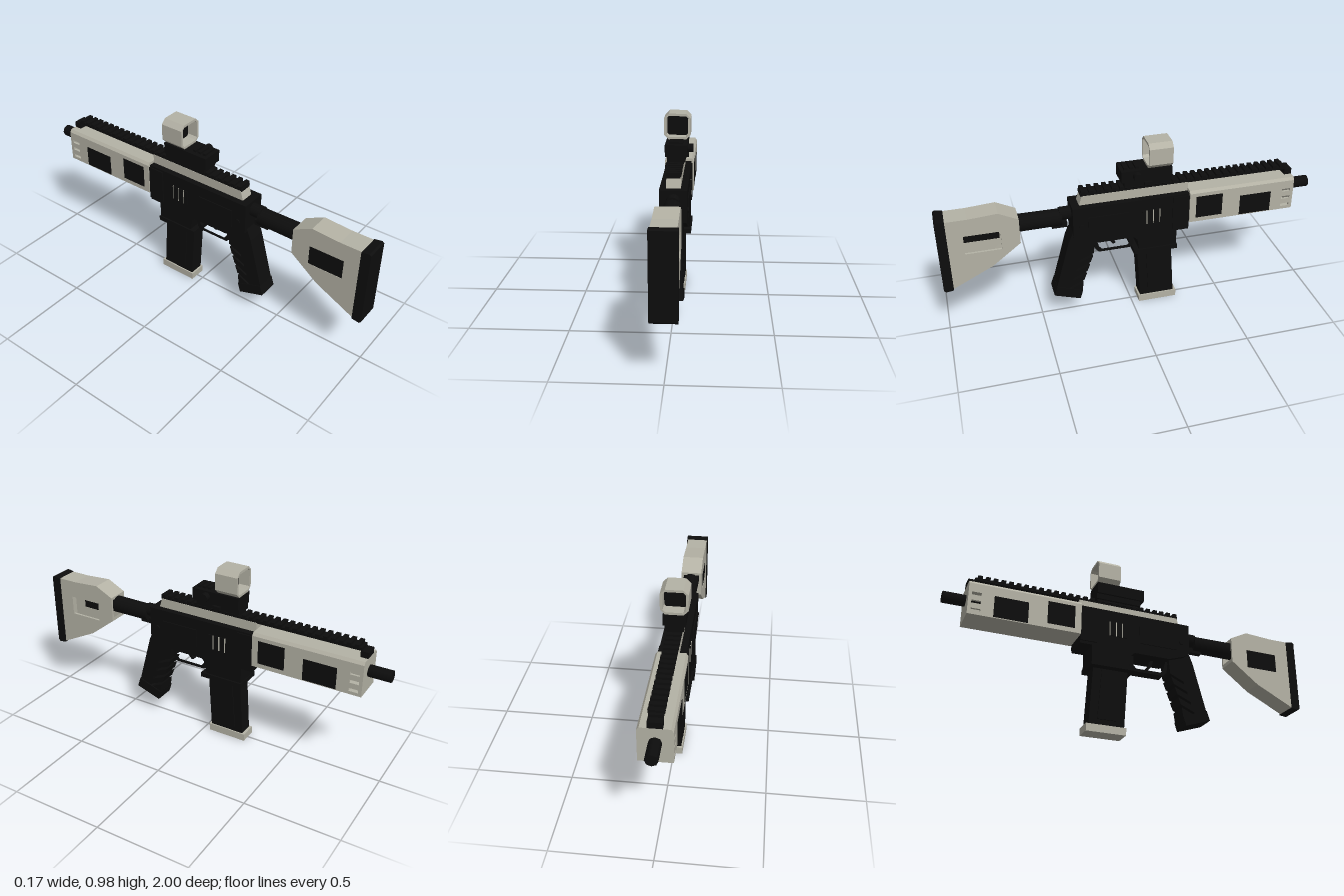
import * as THREE from 'three';

export function createModel() {
  const model = new THREE.Group();
  const mat = (name, color) => {
    const m = new THREE.MeshStandardMaterial({ color });
    m.name = name;
    return m;
  };
  const black = mat('matte black', 0x0d0d0d);
  const grey = mat('warm grey', 0xb4b2a5);

  const add = (name, geo, material) => {
    const mesh = new THREE.Mesh(geo, material);
    mesh.name = name;
    model.add(mesh);
    return mesh;
  };
  // Box given by its limits on each axis
  const box = (name, m, x0, x1, y0, y1, z0, z1) => add(name,
    new THREE.BoxGeometry(x1 - x0, y1 - y0, z1 - z0)
      .translate((x0 + x1) / 2, (y0 + y1) / 2, (z0 + z1) / 2), m);
  const toShape = (pts, holes = []) => {
    const s = new THREE.Shape(pts.map(p => new THREE.Vector2(...p)));
    s.holes = holes.map(h => new THREE.Path(h.map(p => new THREE.Vector2(...p))));
    return s;
  };
  const rect = (a, b, c, d) => [[a, c], [b, c], [b, d], [a, d]];
  // Side profile in (z, y), extruded from x0 to x1
  const slab = (name, m, pts, x0, x1, holes) => add(name,
    new THREE.ExtrudeGeometry(toShape(pts, holes), { depth: x1 - x0, bevelEnabled: false })
      .rotateY(-Math.PI / 2).translate(x1, 0, 0), m);
  // Cross-section in (x, y), extruded from z0 to z1
  const section = (name, m, pts, z0, z1, holes) => add(name,
    new THREE.ExtrudeGeometry(toShape(pts, holes), { depth: z1 - z0, bevelEnabled: false })
      .translate(0, 0, z0), m);
  // Round bar along z
  const rod = (name, m, r0, r1, z0, z1, y, sides = 16) => add(name,
    new THREE.CylinderGeometry(r1, r0, z1 - z0, sides)
      .rotateX(Math.PI / 2).translate(0, y, (z0 + z1) / 2), m);
  const octagon = (w, y0, y1, c) => [[-w + c, y0], [w - c, y0], [w, y0 + c], [w, y1 - c],
    [w - c, y1], [-w + c, y1], [-w, y1 - c], [-w, y0 + c]];

  // Stock: two side plates around an open-fronted rim
  const stock = [[0.59, 0.51], [0.74, 0.395], [0.95, 0.29], [0.95, 0.69],
    [0.84, 0.69], [0.69, 0.7], [0.59, 0.65]];
  const stockWindow = rect(0.685, 0.87, 0.49, 0.595);
  slab('stockSideLeft', grey, stock, 0.043, 0.055, [stockWindow]);
  slab('stockSideRight', grey, stock, -0.06, -0.048, [stockWindow]);
  slab('stockRim', grey, [...stock, [0.59, 0.635], [0.695, 0.685], [0.935, 0.675],
    [0.935, 0.312], [0.75, 0.408], [0.59, 0.53]], -0.048, 0.043);
  box('stockWindowPlate', black, -0.058, -0.05, 0.49, 0.595, 0.685, 0.87);
  slab('buttPad', black, [[0.95, 0.285], [0.99, 0.28], [1, 0.29], [1, 0.69], [0.99, 0.697], [0.95, 0.69]],
    -0.064, 0.061);

  // Stock tube and collar
  rod('stockTube', black, 0.045, 0.047, 0.37, 0.66, 0.597);
  rod('tubeCollar', black, 0.035, 0.035, 0.31, 0.38, 0.617);
  box('tubeLatch', black, -0.015, 0.015, 0.54, 0.57, 0.34, 0.42);

  // Receiver, magazine well and side details
  slab('receiver', black, [[0.32, 0.67], [0.32, 0.505], [0.29, 0.48], [0.2, 0.45], [0, 0.45],
    [-0.02, 0.43], [-0.03, 0.36], [-0.235, 0.36], [-0.235, 0.455], [-0.3, 0.455], [-0.3, 0.67]],
    -0.069, 0.069);
  box('magazineFlange', black, -0.077, 0.077, 0.345, 0.37, -0.238, 0);
  box('receiverFront', black, -0.076, 0.074, 0.47, 0.66, -0.3, -0.21);
  for (const s of [-1, 1]) {
    const near = s * 0.069, far = s * 0.074, a = Math.min(near, far), b = Math.max(near, far);
    box('receiverPanel', black, a, b, 0.51, 0.61, 0.03, 0.24);
    for (const z of [-0.055, -0.09, -0.125]) {
      box('receiverRib', black, a, b, 0.525, 0.605, z - 0.012, z + 0.012);
      box('ribEdge', grey, a, b, 0.525, 0.605, z - 0.016, z - 0.012);
    }
    const pin = add('receiverPin', new THREE.CylinderGeometry(0.014, 0.014, 0.01, 10), black);
    pin.rotation.z = Math.PI / 2;
    pin.position.set(s * 0.071, 0.56, 0.275);
  }

  // Grip with slanted notches in its front edge
  const grip = [[0.32, 0.52], [0.345, 0.46], [0.425, 0.165], [0.285, 0.12]];
  for (let i = 0; i < 4; i++) {
    const y = 0.195 + i * 0.055, z = 0.274 - i * 0.019;
    grip.push([z, y], [z + 0.075, y - 0.033], [z + 0.073, y - 0.018], [z - 0.004, y + 0.016]);
  }
  grip.push([0.205, 0.45], [0.21, 0.52]);
  slab('grip', black, grip, -0.05, 0.05);
  slab('gripBase', black, [[0.435, 0.142], [0.295, 0.095], [0.28, 0.145], [0.418, 0.195]], -0.055, 0.055);

  // Trigger guard and trigger
  slab('triggerGuard', black, [[0.21, 0.47], [0.2, 0.385], [0.18, 0.365], [0.01, 0.365], [-0.01, 0.38], [-0.01, 0.47]],
    -0.03, 0.03, [[[0.195, 0.45], [0.18, 0.4], [0.165, 0.382], [0.025, 0.382], [0.01, 0.4], [0.01, 0.45]]]);
  slab('trigger', black, [[0.12, 0.46], [0.105, 0.42], [0.085, 0.395], [0.1, 0.39], [0.12, 0.415], [0.135, 0.46]],
    -0.012, 0.012);

  // Magazine
  slab('magazine', black, [[-0.025, 0.37], [-0.045, 0.04], [-0.235, 0.04], [-0.215, 0.37]], -0.039, 0.039);
  for (const x of [-0.041, 0.041])
    slab('magazineRib', black, [[-0.075, 0.34], [-0.09, 0.07], [-0.19, 0.07], [-0.17, 0.34]], x - 0.003, x + 0.003);
  slab('magazineBase', grey, [[-0.035, 0.04], [-0.038, 0], [-0.25, 0], [-0.25, 0.04]], -0.046, 0.046);

  // Hollow handguard: slotted sides, floor, roof and end cap
  const guard = rect(-0.885, -0.3, 0.5, 0.67);
  const slots = [0.525, 0.57, 0.615].map(y => rect(-0.868, -0.82, y - 0.008, y + 0.008));
  for (const s of [-1, 1]) {
    const outer = s * 0.081, inner = s * 0.069;
    slab('handguardSide', grey, guard, Math.min(outer, inner), Math.max(outer, inner), slots);
    box('handguardWindow', black, outer - 0.002, outer + 0.002, 0.525, 0.65, -0.48, -0.335);
    box('handguardWindow', black, outer - 0.002, outer + 0.002, 0.505, 0.62, -0.755, -0.58);
  }
  box('handguardFloor', grey, -0.069, 0.069, 0.5, 0.512, -0.885, -0.3);
  section('handguardRoof', grey, [[-0.081, 0.67], [0.081, 0.67], [0.07, 0.685], [-0.07, 0.685]], -0.885, -0.3);
  box('handguardCap', grey, -0.069, 0.069, 0.512, 0.67, -0.885, -0.875);

  // Barrel
  rod('barrel', black, 0.027, 0.027, -0.9, -0.3, 0.607);
  rod('muzzle', black, 0.031, 0.031, -1, -0.885, 0.607, 8);

  // Grey upper receiver and toothed top rail
  slab('upperReceiver', grey, [[0.28, 0.67], [0.265, 0.72], [-0.3, 0.72], [-0.3, 0.67]], -0.036, 0.036);
  box('rail', black, -0.034, 0.034, 0.717, 0.732, -0.85, 0.27);
  for (let i = 0; i < 28; i++) {
    const z = 0.255 - i * 0.04;
    box('railTooth', black, -0.038, 0.038, 0.728, 0.745, z - 0.011, z + 0.011);
  }
  box('railEndBlock', black, -0.035, 0.035, 0.685, 0.717, -0.885, -0.845);

  // Sight mount and body
  section('sightClamp', black, [[-0.028, 0.72], [0.028, 0.72], [0.038, 0.735], [0.03, 0.75], [-0.03, 0.75], [-0.038, 0.735]],
    -0.2, 0.04);
  box('sightMount', black, -0.047, 0.047, 0.745, 0.775, -0.205, 0.045);
  box('mountScrew', black, 0.047, 0.061, 0.748, 0.766, -0.1, -0.06);
  box('sightBody', black, -0.057, 0.057, 0.775, 0.838, -0.205, 0.062);
  for (const z of [0.035, 0.005, -0.025]) box('sightRidge', black, -0.035, 0.035, 0.837, 0.85, z - 0.009, z + 0.009);
  const knob = add('sightKnob', new THREE.CylinderGeometry(0.023, 0.023, 0.03, 14), black);
  knob.rotation.z = Math.PI / 2;
  knob.position.set(0.071, 0.808, -0.02);

  // Octagonal sight hood with a dark lens
  section('sightHood', grey, octagon(0.07, 0.838, 0.975, 0.025), -0.205, -0.08, [octagon(0.057, 0.851, 0.962, 0.012)]);
  box('sightLens', black, -0.056, 0.056, 0.852, 0.961, -0.146, -0.138);

  return model;
}
